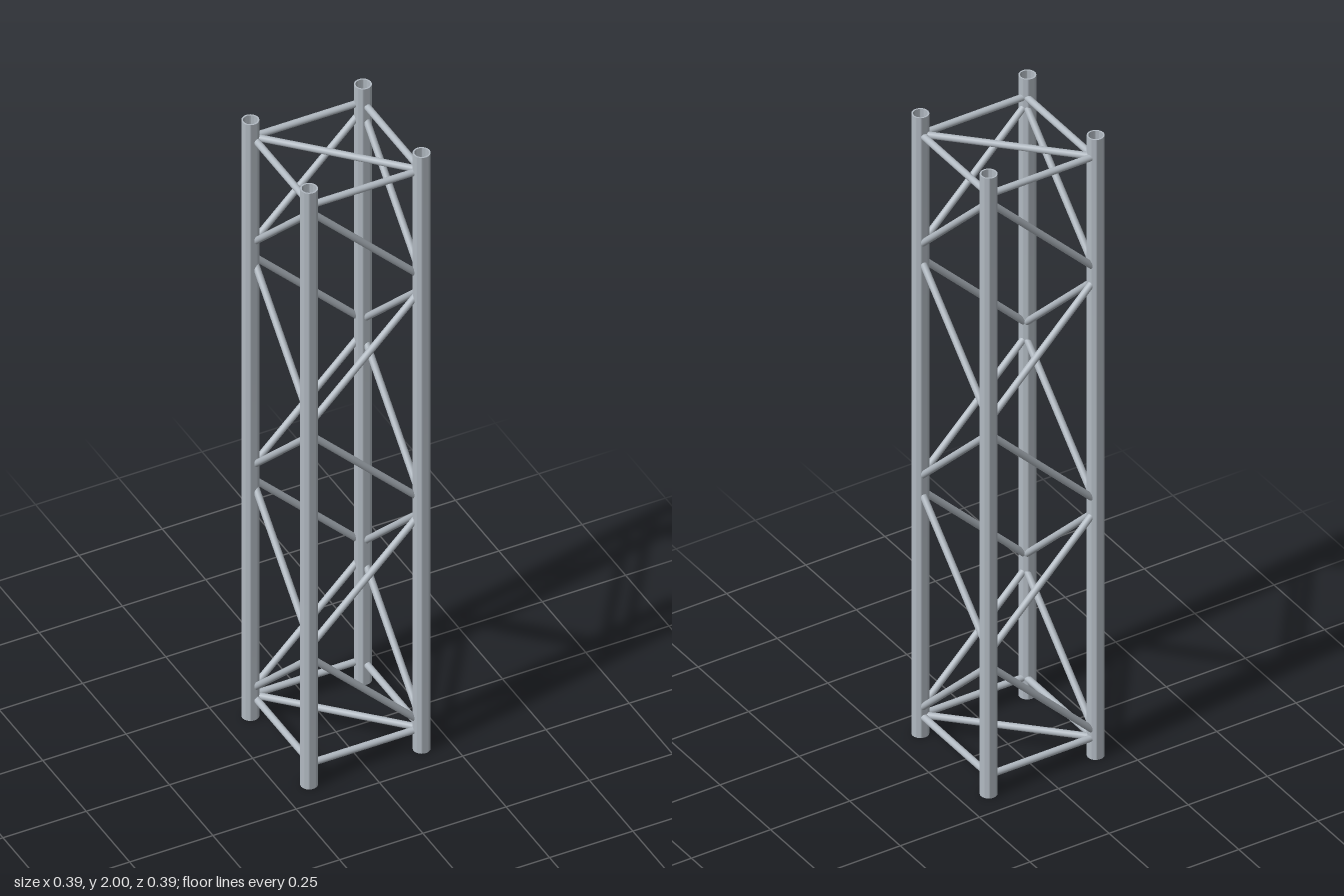
import * as THREE from 'three';
import { toCreasedNormals } from 'three/addons/utils/BufferGeometryUtils.js';

const LEG = 0.169;            // leg centre offset on x and z
const LEG_R = 0.024, BORE_R = 0.0195, ROD_R = 0.0098;
const X0 = -0.16, X1 = 0.171; // lattice planes, slightly offset from the leg axes
const Z0 = -0.174, Z1 = 0.163;
const BAYS = 5, PITCH = 0.374, FIRST = 0.25, HALF = 0.165;

export function createModel() {
  const steel = new THREE.MeshStandardMaterial({ color: 0xb2bac2 });
  steel.name = 'galvanised steel';
  const model = new THREE.Group();
  model.name = 'latticeTower';

  // Hollow legs
  const ring = new THREE.Shape();
  ring.absarc(0, 0, LEG_R, 0, Math.PI * 2);
  const bore = new THREE.Path();
  bore.absarc(0, 0, BORE_R, 0, Math.PI * 2, true);
  ring.holes.push(bore);
  let legGeo = new THREE.ExtrudeGeometry(ring, { depth: 2, bevelEnabled: false, curveSegments: 32 });
  legGeo.rotateX(-Math.PI / 2);
  legGeo = toCreasedNormals(legGeo, 0.7);
  for (const x of [-LEG, LEG]) {
    for (const z of [-LEG, LEG]) {
      const leg = new THREE.Mesh(legGeo, steel);
      leg.name = 'leg';
      leg.position.set(x, 0, z);
      model.add(leg);
    }
  }

  // Round rod between two points
  const up = new THREE.Vector3(0, 1, 0);
  function rod(name, a, b) {
    const from = new THREE.Vector3(...a), to = new THREE.Vector3(...b);
    const dir = to.clone().sub(from);
    const mesh = new THREE.Mesh(new THREE.CylinderGeometry(ROD_R, ROD_R, dir.length(), 20), steel);
    mesh.name = name;
    mesh.position.copy(from).add(to).multiplyScalar(0.5);
    mesh.quaternion.setFromUnitVectors(up, dir.normalize());
    model.add(mesh);
  }

  // Horizontal frames with one plan brace, near the bottom and the top
  for (const y of [0.064, 1.937]) {
    rod('frontRail', [X0 - 0.008, y, Z1], [X1 + 0.008, y, Z1]);
    rod('backRail', [X0 - 0.008, y, Z0], [X1 + 0.008, y, Z0]);
    rod('rightRail', [X0, y, Z0 - 0.008], [X0, y, Z1 + 0.008]);
    rod('leftRail', [X1, y, Z0 - 0.008], [X1, y, Z1 + 0.008]);
    rod('planBrace', [X0, y, Z0], [X1, y, Z1]);
  }

  // Zigzag diagonals, mirrored on opposite sides
  for (let i = 0; i < BAYS; i++) {
    const mid = FIRST + i * PITCH;
    const s = i % 2 ? -HALF : HALF;
    const hi = mid + s, lo = mid - s;
    rod('frontDiagonal', [X0, hi, Z1], [X1, lo, Z1]);
    rod('backDiagonal', [X0, lo, Z0], [X1, hi, Z0]);
    rod('leftDiagonal', [X1, hi, Z0], [X1, lo, Z1]);
    rod('rightDiagonal', [X0, lo, Z0], [X0, hi, Z1]);
  }
  return model;
}
